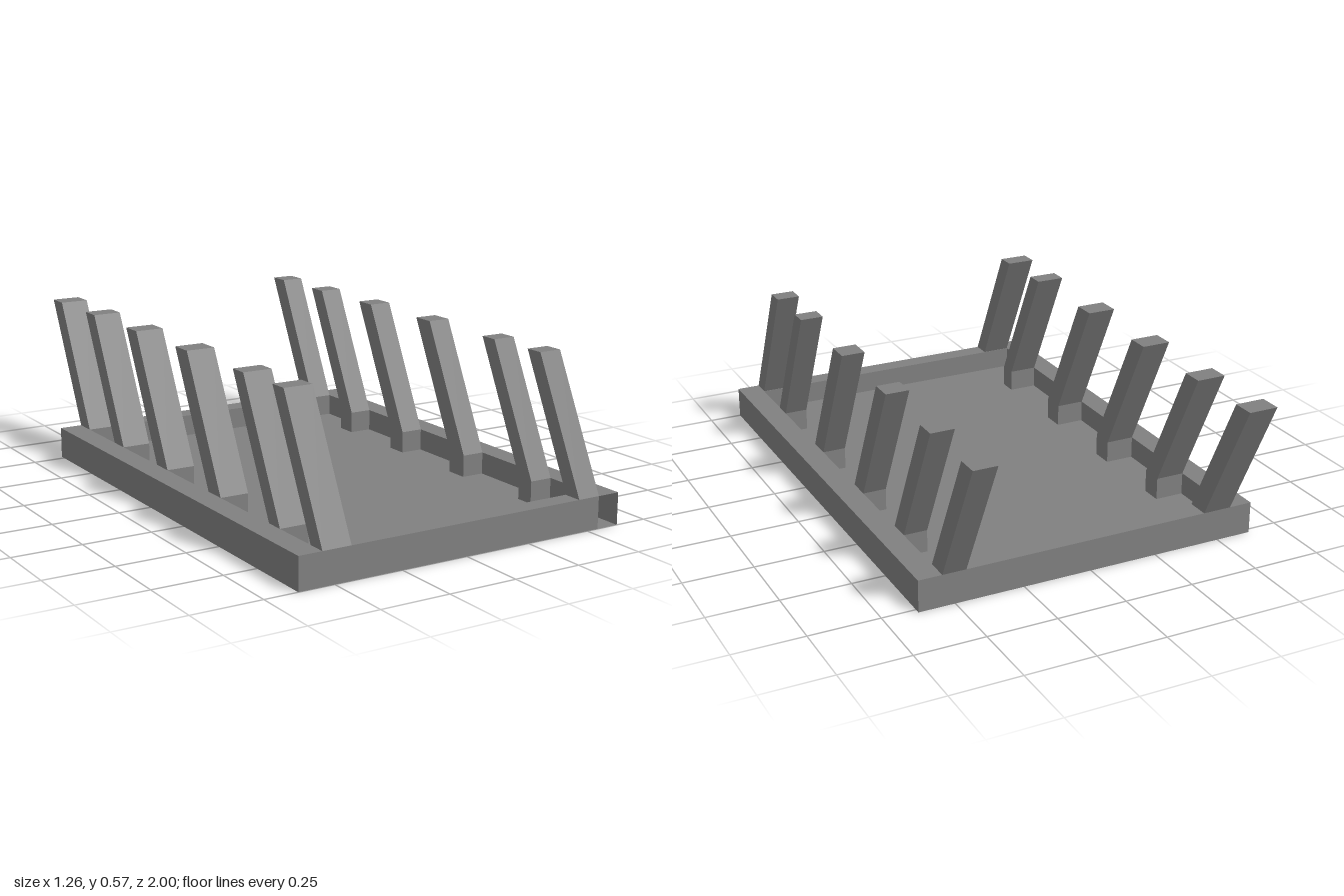
import * as THREE from 'three';

const grey = new THREE.MeshStandardMaterial({ color: 0x808080, flatShading: true, side: THREE.DoubleSide });
grey.name = 'grey';

const RIM = 0.115, FLOOR = 0.035, TOP = 0.575;
const OUT = 0.63, IN = 0.545;
const FRONT = 1.0, BACK = -0.77, IN_FRONT = 0.93, IN_BACK = -0.69;
const LEAN = 0.227;

// Box given by its limits along each axis
function block(name, x0, x1, y0, y1, z0, z1) {
  const geo = new THREE.BoxGeometry(x1 - x0, y1 - y0, z1 - z0);
  geo.translate((x0 + x1) / 2, (y0 + y1) / 2, (z0 + z1) / 2);
  const mesh = new THREE.Mesh(geo, grey);
  mesh.name = name;
  return mesh;
}

// Upright foot inside the tray, continuing as a stake that leans backwards
function stake(name, x0, x1, zFront, zBack) {
  const shape = new THREE.Shape([
    [zBack, FLOOR], [zFront, FLOOR], [zFront, RIM],
    [zFront - LEAN, TOP], [zBack - LEAN, TOP], [zBack, RIM],
  ].map(([z, y]) => new THREE.Vector2(z, y)));
  const geo = new THREE.ExtrudeGeometry(shape, { depth: x1 - x0, bevelEnabled: false });
  geo.rotateY(-Math.PI / 2);
  geo.translate(x1, 0, 0);
  const mesh = new THREE.Mesh(geo, grey);
  mesh.name = name;
  return mesh;
}

export function createModel() {
  const model = new THREE.Group();
  model.name = 'stakedTray';

  // Tray floor and rim
  const tray = new THREE.Group();
  tray.name = 'tray';
  tray.add(
    block('floor', -IN, IN, 0, FLOOR, IN_BACK, IN_FRONT),
    block('frontRim', -IN, IN, 0, RIM, IN_FRONT, FRONT),
    block('backRim', -IN, IN, 0, RIM, BACK, IN_BACK),
    block('rightRim', -OUT, -IN, 0, RIM, BACK, FRONT),
  );

  // The left rim is hollow, with its front end open
  const leftRim = block('leftRim', IN, OUT, 0, RIM, BACK, FRONT);
  const index = Array.from(leftRim.geometry.index.array);
  index.splice(24, 6);
  leftRim.geometry.setIndex(index);
  leftRim.geometry.clearGroups();
  tray.add(leftRim);
  model.add(tray);

  // Two rows of leaning stakes: front and back edge of each foot
  const stakes = new THREE.Group();
  stakes.name = 'stakes';
  const feet = [[1.0, 0.932], [0.748, 0.68], [0.36, 0.275], [-0.03, -0.112], [-0.388, -0.465], [-0.69, -0.77]];
  feet.forEach(([zFront, zBack], i) => {
    stakes.add(stake(`rightStake${i + 1}`, -IN, -0.44, zFront, zBack));
    stakes.add(stake(`leftStake${i + 1}`, 0.46, IN, zFront, zBack));
  });
  model.add(stakes);

  return model;
}
